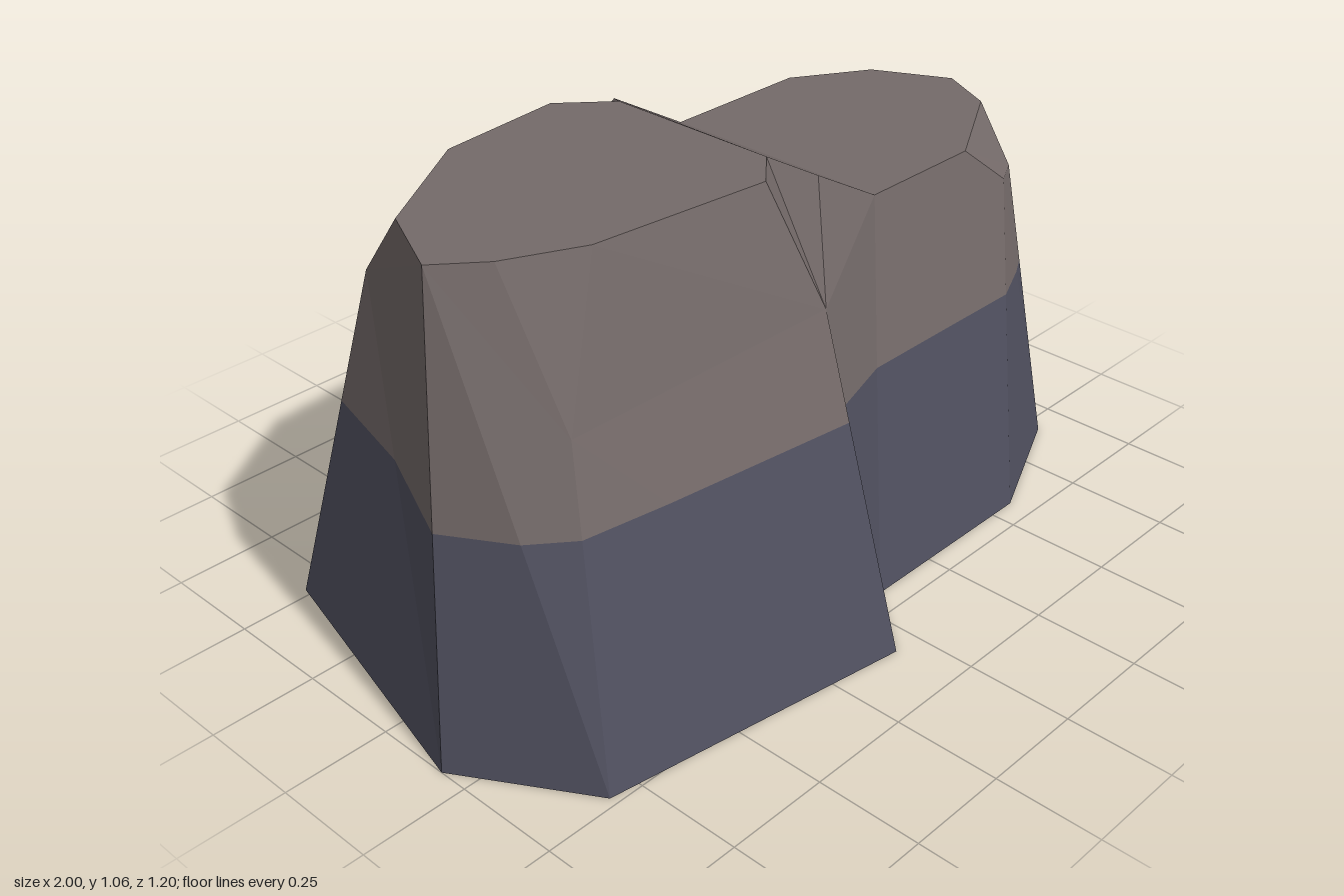
import * as THREE from 'three';

const SPLIT = 0.525; // height where the dark lower band meets the upper stone

// Columns around the rock: base [x, z], shoulder [x, y, z], rim points (omitted when the shoulder is on the rim)
const COLUMNS = [
  { base: [-0.82, -0.52], up: [-0.71, 0.85, -0.32], rim: [[-0.78, 1.06, -0.11], [-0.5, 1.06, -0.29]] },
  { base: [-0.08, -0.6], up: [-0.06, 0.95, -0.35], rim: [[-0.19, 1.06, -0.32], [-0.08, 1.06, -0.22], [0, 1.015, -0.32]] },
  { base: [0.22, -0.46], up: [0.19, 0.905, -0.3] },
  { base: [0.85, -0.455], up: [0.71, 0.79, -0.32], rim: [[0.57, 0.905, -0.3], [0.75, 0.905, -0.19]], flip: true },
  { base: [1, 0], up: [0.84, 0.905, -0.01] },
  { base: [0.9, 0.29], up: [0.73, 0.79, 0.25], rim: [[0.77, 0.905, 0.13]] },
  { base: [0.57, 0.44], up: [0.64, 0.8, 0.3], rim: [[0.51, 0.905, 0.28]] },
  { base: [0.07, 0.44], up: [0.19, 0.905, 0.28] },
  { base: [-0.07, 0.6], up: [-0.08, 0.77, 0.38], rim: [[-0.01, 1.02, 0.29], [-0.08, 1.06, 0.21], [-0.17, 1.06, 0.29]] },
  { base: [-0.82, 0.48], up: [-0.73, 0.72, 0.31], rim: [[-0.6, 1.06, 0.245], [-0.77, 1.06, 0.165]] },
  { base: [-1, 0.18], up: [-0.87, 1.06, 0.08] },
];

// Keep the part of a polygon above (sign 1) or below (sign -1) the split height
function clip(poly, sign) {
  const out = [];
  poly.forEach((a, i) => {
    const b = poly[(i + 1) % poly.length];
    const da = sign * (a[1] - SPLIT), db = sign * (b[1] - SPLIT);
    if (da >= 0) out.push(a);
    if (da * db < 0) {
      const t = da / (da - db);
      out.push(a.map((v, k) => v + (b[k] - v) * t));
    }
  });
  return out;
}

function fan(poly) {
  const tris = [];
  for (let i = 1; i < poly.length - 1; i++) {
    const t = [poly[0], poly[i], poly[i + 1]];
    if (new Set(t).size === 3) tris.push(t);
  }
  return tris;
}

function makeMesh(name, tris, material) {
  const geometry = new THREE.BufferGeometry();
  geometry.setAttribute('position', new THREE.Float32BufferAttribute(tris.flat(2), 3));
  geometry.computeVertexNormals();
  const mesh = new THREE.Mesh(geometry, material);
  mesh.name = name;
  return mesh;
}

export function createModel() {
  const stone = new THREE.MeshStandardMaterial({ color: 0x746a69, side: THREE.DoubleSide });
  stone.name = 'warm grey stone';
  const dark = new THREE.MeshStandardMaterial({ color: 0x50505f, side: THREE.DoubleSide });
  dark.name = 'blue grey stone';

  const cols = COLUMNS.map(({ base, up, rim, flip }) => (
    { base: [base[0], 0, base[1]], up, rim: rim || [up], flip }));
  const walls = [], top = [];

  cols.forEach((a, i) => {
    const b = cols[(i + 1) % cols.length];
    // Sloping wall between neighbouring columns
    walls.push(...fan(a.flip ? [a.up, b.up, b.base, a.base] : [a.base, a.up, b.up, b.base]));
    // Shoulder strip up to the rim, and the chipped corner above each column
    walls.push(...fan([a.up, a.rim[a.rim.length - 1], b.rim[0], b.up]));
    walls.push(...fan([a.up, ...a.rim]));
  });

  // High plateau, ramp and low plateau
  const r = cols.map((c) => c.rim);
  const high = [r[8][1], r[8][2], ...r[9], ...r[10], ...r[0], r[1][0], r[1][1]];
  const ramp = [r[1][1], r[1][2], r[2][0], r[7][0], r[8][0], r[8][1]];
  const low = [...r[2], ...r[3], ...r[4], ...r[5], ...r[6], ...r[7]];
  for (const p of [high, ramp, low]) top.push(...fan(p.reverse()));

  const part = (sign) => walls.flatMap((t) => fan(clip(t, sign)));
  const group = new THREE.Group();
  group.name = 'rock';
  group.add(
    makeMesh('lowerWalls', part(-1), dark),
    makeMesh('upperWalls', part(1), stone),
    makeMesh('rockTop', top, stone),
  );
  return group;
}
